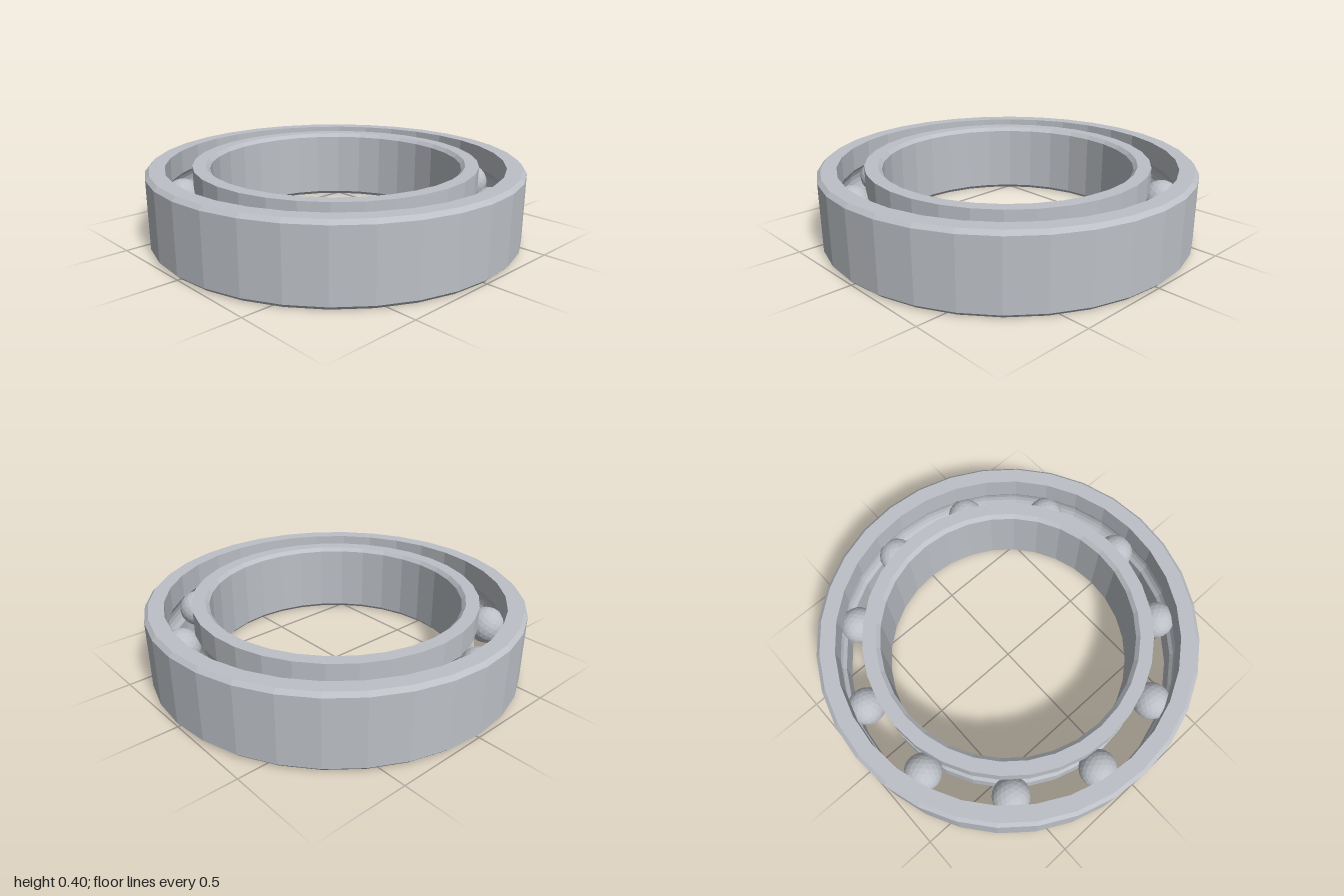
import * as THREE from 'three';

const HEIGHT = 0.4, CHAMFER = 0.02, SIDES = 32;
const PITCH = 0.83, BALL_RADIUS = 0.1, BALL_COUNT = 11;

// Rounded raceway cross-section, swept between two angles around the ball centre
function groove(from, to, steps = 6) {
  return Array.from({ length: steps + 1 }, (_, i) => {
    const a = THREE.MathUtils.degToRad(from + (to - from) * i / steps);
    return [PITCH + Math.cos(a) * BALL_RADIUS, HEIGHT / 2 + Math.sin(a) * BALL_RADIUS];
  });
}

// Ring turned from a closed cross-section of [radius, y] points
function makeRing(name, profile, material) {
  const points = [...profile, profile[0]].map(([r, y]) => new THREE.Vector2(r, y));
  const ring = new THREE.Mesh(new THREE.LatheGeometry(points, SIDES), material);
  ring.name = name;
  return ring;
}

export function createModel() {
  const model = new THREE.Group();
  model.name = 'ballBearing';
  const steel = new THREE.MeshStandardMaterial({ color: 0xbcc0c6 });
  steel.name = 'steel';
  steel.flatShading = true;

  // Outer race: chamfered outside, grooved inside
  model.add(makeRing('outerRace', [
    [0.9, 0], [1 - CHAMFER, 0], [1, CHAMFER],
    [1, HEIGHT - CHAMFER], [1 - CHAMFER, HEIGHT], [0.9, HEIGHT],
    ...groove(45, -45),
  ], steel));

  // Inner race: grooved outside, chamfered bore
  model.add(makeRing('innerRace', [
    [0.67 + CHAMFER, 0], [0.76, 0],
    ...groove(225, 135),
    [0.76, HEIGHT], [0.67 + CHAMFER, HEIGHT],
    [0.67, HEIGHT - CHAMFER], [0.67, CHAMFER],
  ], steel));

  // Balls evenly spaced between the races
  const balls = new THREE.Group();
  balls.name = 'balls';
  const ballGeometry = new THREE.IcosahedronGeometry(BALL_RADIUS, 3);
  for (let i = 0; i < BALL_COUNT; i++) {
    const a = i / BALL_COUNT * Math.PI * 2;
    const ball = new THREE.Mesh(ballGeometry, steel);
    ball.name = `ball${i + 1}`;
    ball.position.set(Math.cos(a) * PITCH, HEIGHT / 2, Math.sin(a) * PITCH);
    ball.rotation.y = -a;
    balls.add(ball);
  }
  model.add(balls);
  return model;
}
